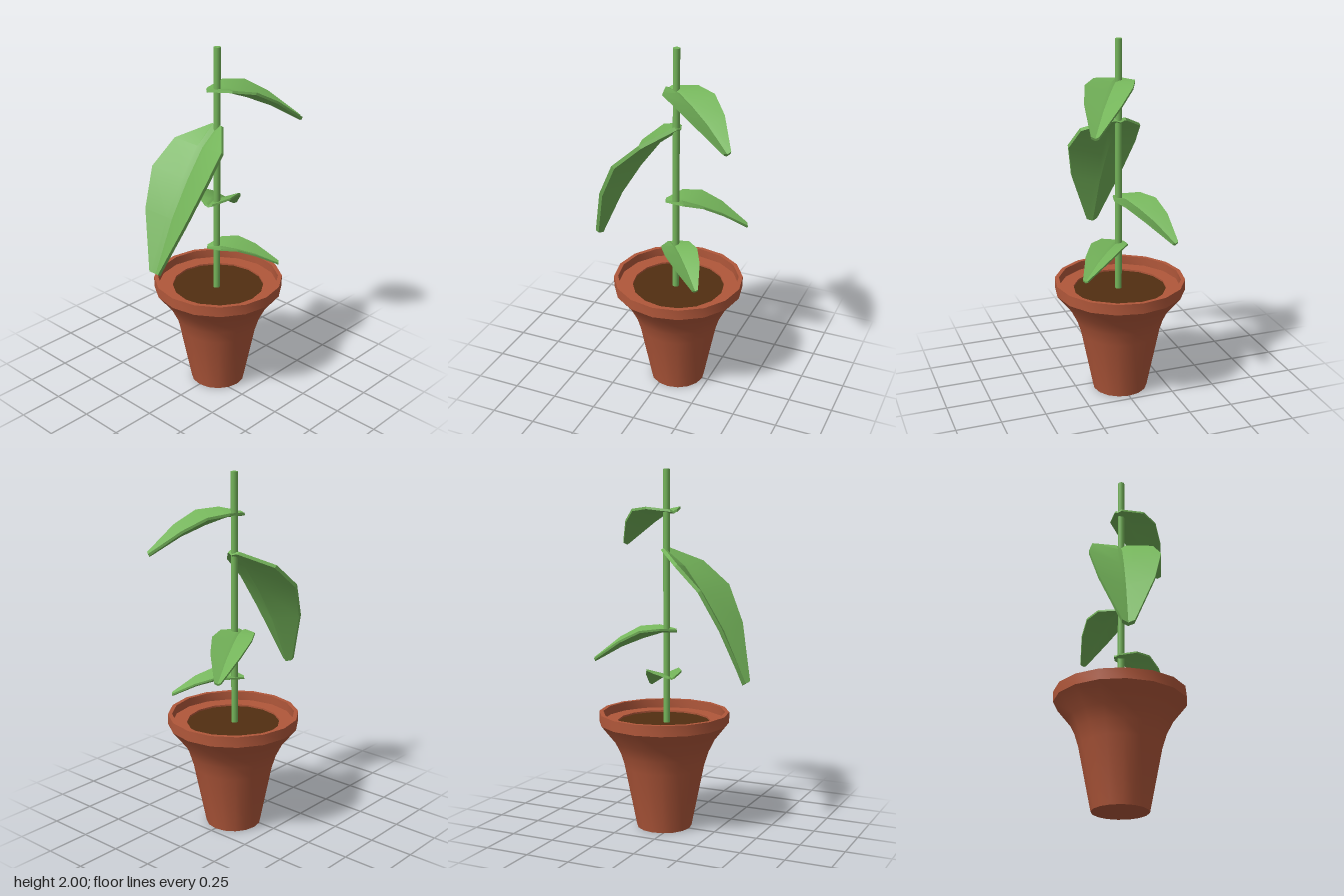
import * as THREE from 'three';
import { toCreasedNormals } from 'three/addons/utils/BufferGeometryUtils.js';

const material = (name, color) => {
  const m = new THREE.MeshStandardMaterial({ color });
  m.name = name;
  return m;
};

// Folded, arched leaf of unit length along +z, closed with a thin underside
function leafGeometry() {
  const thickness = 0.025, rib = 0.03;
  // [along, half width, groove height, edge height]
  const sections = [
    [0, 0.04, 0.02, 0.035],
    [0.17, 0.2, 0.075, 0.125],
    [0.39, 0.23, 0.085, 0.18],
    [0.65, 0.175, 0.075, 0.145],
    [1, 0.038, 0.015, 0.035],
  ];
  const rings = sections.map(([z, w, mid, edge]) => {
    const top = [[-w, edge], [-rib, mid + 0.015], [0, mid], [rib, mid + 0.015], [w, edge]];
    const under = top.map(([x, y]) => [x, y - thickness]).reverse();
    return [...top, ...under].map(([x, y]) => [x, y, z]);
  });
  const pos = [];
  const quad = (a, b, c, d) => pos.push(...a, ...b, ...c, ...a, ...c, ...d);
  for (let i = 0; i < rings.length - 1; i++) {
    for (let j = 0; j < 10; j++) {
      const k = (j + 1) % 10;
      quad(rings[i][j], rings[i + 1][j], rings[i + 1][k], rings[i][k]);
    }
  }
  // End caps
  const first = rings[0], last = rings[rings.length - 1];
  for (let j = 0; j < 4; j++) {
    quad(first[j], first[j + 1], first[8 - j], first[9 - j]);
    quad(last[9 - j], last[8 - j], last[j + 1], last[j]);
  }
  const g = new THREE.BufferGeometry();
  g.setAttribute('position', new THREE.Float32BufferAttribute(pos, 3));
  return toCreasedNormals(g, 0.33);
}

export function createModel() {
  const model = new THREE.Group();
  model.name = 'pottedPlant';
  const terracotta = material('terracotta', 0xb0573a);
  const soilBrown = material('soilBrown', 0x522e11);
  const leafGreen = material('leafGreen', 0x74b45a);

  const add = (name, geometry, mat, x, y, z) => {
    const mesh = new THREE.Mesh(geometry, mat);
    mesh.name = name;
    mesh.position.set(x, y, z);
    model.add(mesh);
    return mesh;
  };

  // Flared pot with an upright rim and an inner ledge
  const profile = [
    [0, 0], [0.155, 0], [0.225, 0.35], [0.25, 0.43], [0.285, 0.5], [0.365, 0.6],
    [0.365, 0.66], [0.342, 0.66], [0.342, 0.61], [0.26, 0.61], [0.26, 0.59],
  ].map(([r, y]) => new THREE.Vector2(r, y));
  const pot = new THREE.LatheGeometry(profile, 16);
  add('pot', toCreasedNormals(pot, 0.42), terracotta, 0, 0, -0.06);

  // Soil disc
  const soil = new THREE.CylinderGeometry(0.26, 0.26, 0.02, 16);
  add('soil', soil, soilBrown, 0, 0.59, -0.06);

  // Stem
  const stem = new THREE.CylinderGeometry(0.019, 0.019, 1.42, 12);
  add('stem', stem, leafGreen, 0.003, 1.29, -0.045);

  // Leaves, each stretched from its base point to its tip
  const leaf = leafGeometry();
  const leaves = [
    ['frontLeaf', [0, 1.56, -0.07], [0, 0.85, 0.415]],
    ['topLeaf', [-0.02, 1.765, 0.01], [0.262, 1.575, -0.425]],
    ['middleLeaf', [0, 1.115, 0.02], [-0.188, 0.955, -0.393]],
    ['lowerLeaf', [-0.03, 0.85, 0], [0.268, 0.755, -0.268]],
  ];
  for (const [name, base, tip] of leaves) {
    const [dx, dy, dz] = tip.map((t, i) => t - base[i]);
    const mesh = add(name, leaf, leafGreen, ...base);
    mesh.rotation.order = 'YXZ';
    mesh.rotation.y = Math.atan2(dx, dz);
    mesh.rotation.x = Math.atan2(-dy, Math.hypot(dx, dz));
    mesh.scale.setScalar(Math.hypot(dx, dy, dz));
  }
  return model;
}
